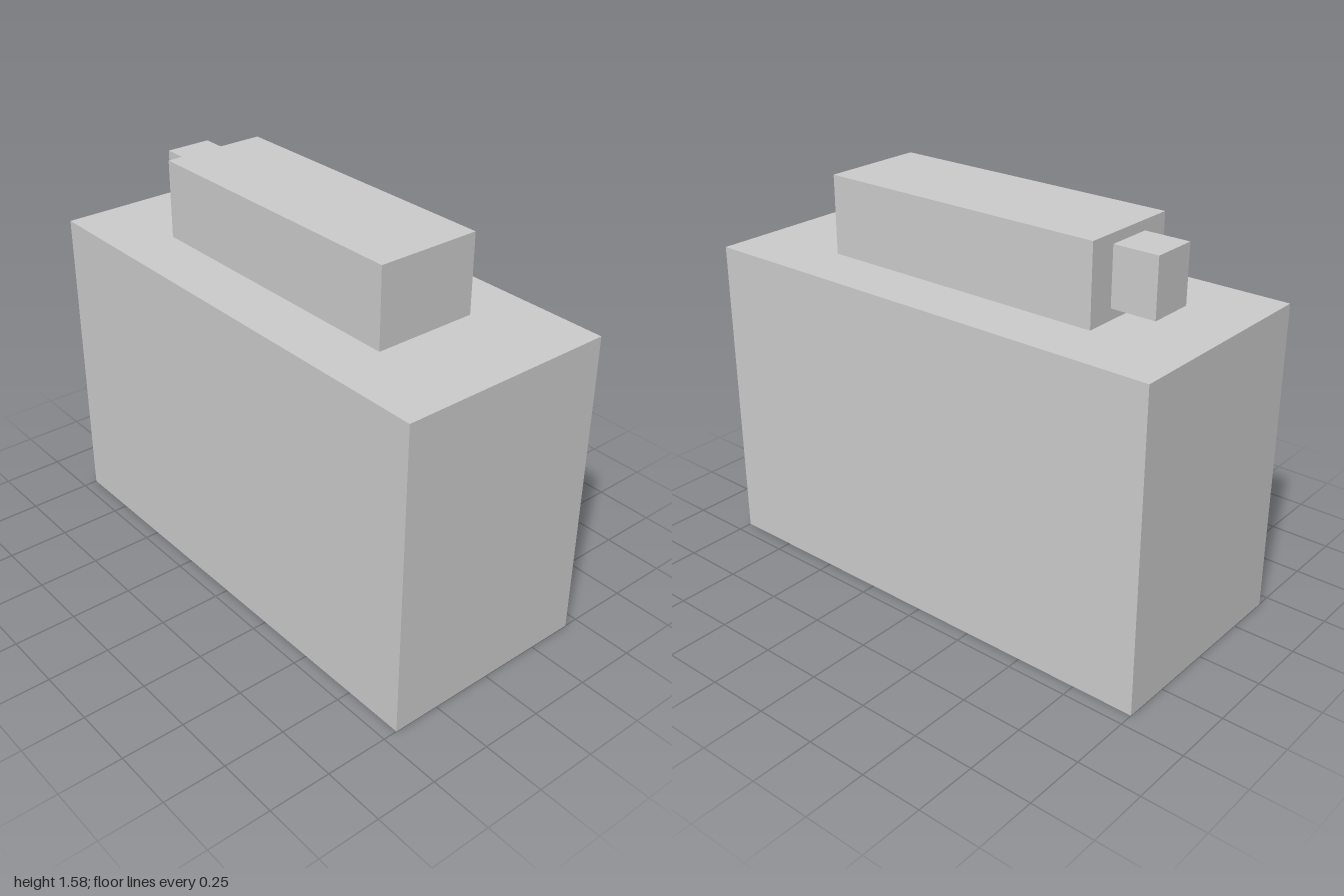
import * as THREE from 'three';

export function createModel() {
  const model = new THREE.Group();
  const lightGrey = new THREE.MeshStandardMaterial({ color: 0xcccccc });
  lightGrey.name = 'lightGrey';

  // Box given by its lower and upper limits on each axis
  function addBox(name, [x0, x1], [y0, y1], [z0, z1]) {
    const mesh = new THREE.Mesh(new THREE.BoxGeometry(x1 - x0, y1 - y0, z1 - z0), lightGrey);
    mesh.position.set((x0 + x1) / 2, (y0 + y1) / 2, (z0 + z1) / 2);
    mesh.name = name;
    model.add(mesh);
  }

  // Main housing
  addBox('body', [-1, 1], [0, 1.265], [-0.442, 0.442]);
  // Raised block on top
  addBox('topBlock', [-0.608, 0.605], [1.265, 1.58], [-0.213, 0.211]);
  // Small stub on the block's right end, clear of the body
  addBox('sideStub', [-0.79, -0.608], [1.31, 1.54], [-0.097, 0.09]);

  return model;
}
